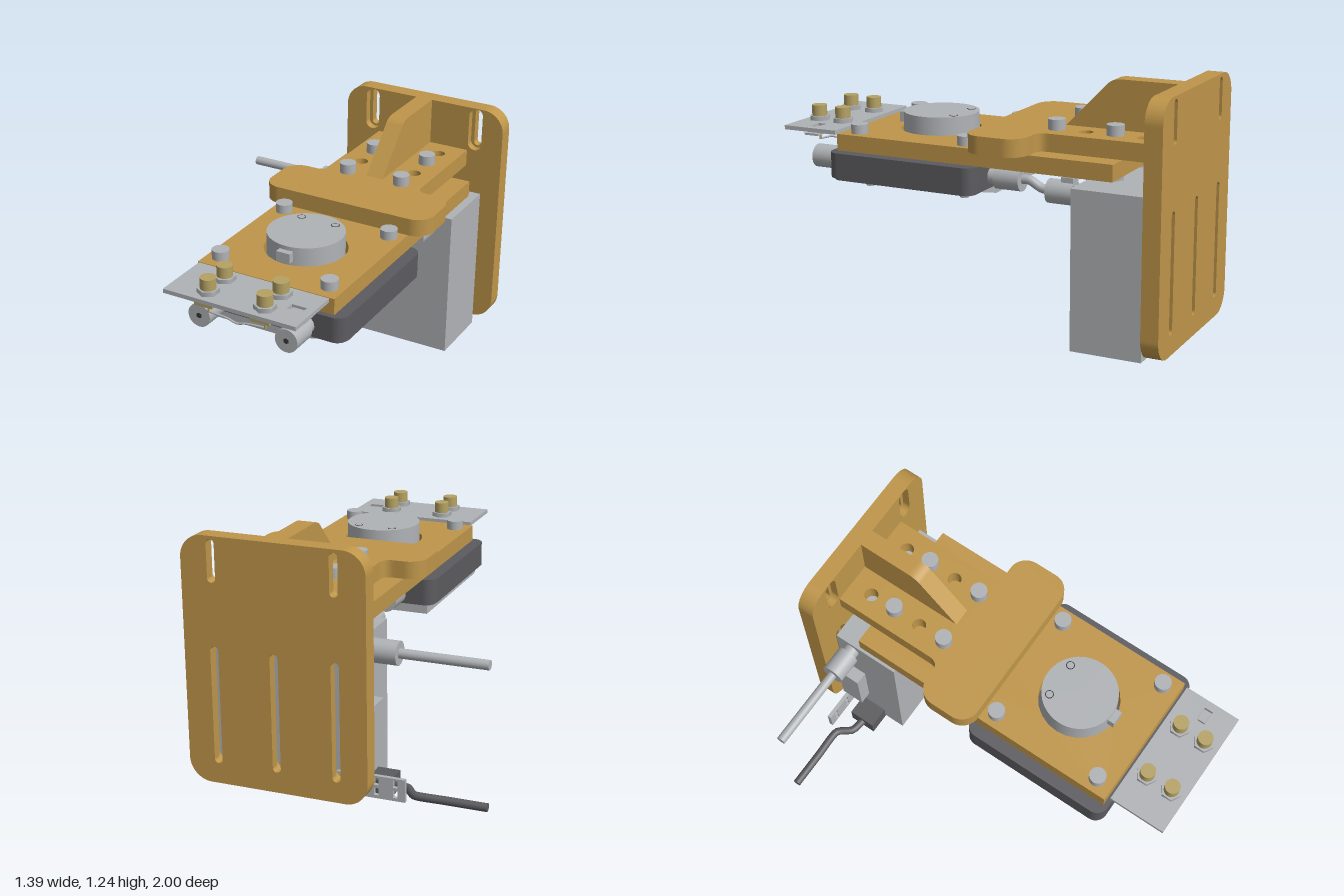
import * as THREE from 'three';

const mat = (name, color, side = THREE.FrontSide) => {
  const m = new THREE.MeshStandardMaterial({ color, side });
  m.name = name;
  return m;
};

export function createModel() {
  const root = new THREE.Group();
  root.name = 'mountedSensorBracket';
  const amber = mat('amber plastic', 0xbf964a);
  const grey = mat('light grey metal', 0xb0b3b6);
  const dark = mat('dark grey housing', 0x5c5c60);
  const brass = mat('brass', 0xb5a264);
  const green = mat('circuit green', 0x1f5f3c);
  const black = mat('socket black', 0x38383a);

  const add = (name, geo, material) => {
    const m = new THREE.Mesh(geo, material);
    m.name = name;
    root.add(m);
    return m;
  };
  // Box from its limits
  const box = (name, m, x0, x1, y0, y1, z0, z1) => {
    const g = new THREE.BoxGeometry(x1 - x0, y1 - y0, z1 - z0);
    g.translate((x0 + x1) / 2, (y0 + y1) / 2, (z0 + z1) / 2);
    return add(name, g, m);
  };
  // Cylinder from a to b along one axis; p, q are the other two coordinates in order
  const cyl = (name, m, axis, p, q, a, b, r, n = 32) => {
    const g = new THREE.CylinderGeometry(r, r, b - a, n);
    const c = (a + b) / 2;
    if (axis === 'x') g.rotateZ(Math.PI / 2).translate(c, p, q);
    else if (axis === 'y') g.translate(p, c, q);
    else g.rotateX(Math.PI / 2).translate(p, q, c);
    return add(name, g, m);
  };
  const roundRect = (P, x0, x1, y0, y1, r) => {
    const s = new P();
    s.moveTo(x0 + r, y0);
    s.lineTo(x1 - r, y0).absarc(x1 - r, y0 + r, r, -Math.PI / 2, 0);
    s.lineTo(x1, y1 - r).absarc(x1 - r, y1 - r, r, 0, Math.PI / 2);
    s.lineTo(x0 + r, y1).absarc(x0 + r, y1 - r, r, Math.PI / 2, Math.PI);
    s.lineTo(x0, y0 + r).absarc(x0 + r, y0 + r, r, Math.PI, Math.PI * 1.5);
    return s;
  };
  const hole = (x, y, r) => new THREE.Path().absarc(x, y, r, 0, Math.PI * 2, true);
  const extrude = (shape, depth) =>
    new THREE.ExtrudeGeometry(shape, { depth, bevelEnabled: false, curveSegments: 12 });
  // Horizontal slab: shape drawn in x and -z
  const slab = (name, m, shape, y0, y1) =>
    add(name, extrude(shape, y1 - y0).rotateX(-Math.PI / 2).translate(0, y0, 0), m);

  // Back plate in two layers, so each slot is wider at the front
  const slots = [[-0.05, 1.02, 1.22], [0.54, 1.02, 1.22]];
  for (const x of [-0.05, 0.245, 0.54]) slots.push([x, 0.15, 0.72]);
  for (const [z, d, wide] of [[-1, 0.045, 0], [-0.955, 0.04, 0.018]]) {
    const s = roundRect(THREE.Shape, -0.2, 0.69, 0.05, 1.235, 0.11);
    for (const [x, y0, y1] of slots) {
      const r = 0.02 + wide;
      s.holes.push(roundRect(THREE.Path, x - r, x + r, y0 - wide * 0.7, y1 + wide * 0.7, r - 0.001));
    }
    add('backPlate', extrude(s, d).translate(0, 0, z), amber);
  }

  // Shelf with a wide rounded head and filleted neck
  const shelf = new THREE.Shape();
  shelf.moveTo(-0.01, 0.917).lineTo(-0.01, 0.38);
  shelf.quadraticCurveTo(-0.01, 0.325, -0.065, 0.325);
  shelf.lineTo(-0.11, 0.325).absarc(-0.11, 0.235, 0.09, Math.PI / 2, Math.PI);
  shelf.lineTo(-0.2, 0.12).absarc(-0.11, 0.12, 0.09, Math.PI, Math.PI * 1.5);
  shelf.lineTo(0.6, 0.03).absarc(0.6, 0.12, 0.09, -Math.PI / 2, 0);
  shelf.lineTo(0.69, 0.235).absarc(0.6, 0.235, 0.09, 0, Math.PI / 2);
  shelf.lineTo(0.555, 0.325).quadraticCurveTo(0.5, 0.325, 0.5, 0.38);
  shelf.lineTo(0.5, 0.917);
  for (const x of [0.095, 0.392])
    for (const z of [0.8, 0.515]) shelf.holes.push(hole(x, z, 0.034));
  slab('shelf', amber, shelf, 0.915, 1.0);

  // Sloped rib between shelf and back plate
  const rib = new THREE.Shape();
  rib.moveTo(0.917, 1.0).lineTo(0.37, 1.0).lineTo(0.57, 1.205);
  rib.quadraticCurveTo(0.595, 1.235, 0.64, 1.235).lineTo(0.917, 1.235);
  add('rib', extrude(rib, 0.09).rotateY(Math.PI / 2).translate(0.2, 0, 0), amber);

  // Long carrier plate with a round opening
  const carrier = new THREE.Shape();
  carrier.moveTo(-0.11, -0.69).lineTo(0.6, -0.69).lineTo(0.6, 0.735).lineTo(-0.11, 0.735);
  carrier.holes.push(hole(0.245, -0.315, 0.198));
  slab('carrierPlate', amber, carrier, 0.835, 0.915);

  // Shelf bolts with hexagonal nuts
  for (const x of [0.095, 0.392])
    for (const z of [-0.37, -0.66]) {
      cyl('shelfBolt', grey, 'y', x, z, 1.0, 1.05, 0.041);
      cyl('shelfNut', grey, 'y', x, z, 0.795, 0.835, 0.045, 6);
    }
  // Carrier bolts
  for (const x of [-0.04, 0.53])
    for (const z of [0.03, 0.605]) cyl('carrierBolt', grey, 'y', x, z, 0.915, 0.96, 0.041);

  // Round sensor cap
  cyl('sensorCap', grey, 'y', 0.245, 0.315, 0.835, 1.0, 0.184, 48);
  box('sensorTab', grey, 0.21, 0.28, 0.93, 0.98, 0.48, 0.53);
  for (const x of [0.155, 0.335]) {
    cyl('capHoleRim', black, 'y', x, 0.2, 0.999, 1.001, 0.021, 24);
    cyl('capHole', grey, 'y', x, 0.2, 1.0, 1.002, 0.017, 24);
  }

  // Dark housing with its base
  slab('housing', dark, roundRect(THREE.Shape, -0.17, 0.66, -0.715, 0.07, 0.06), 0.712, 0.835);
  slab('housingBasePlate', dark, roundRect(THREE.Shape, -0.155, 0.645, -0.7, 0.055, 0.05), 0.7, 0.712);
  const wedge = new THREE.Shape();
  wedge.moveTo(-0.125, 0.655).lineTo(0.37, 0.655).lineTo(0.55, 0.701).lineTo(-0.125, 0.701);
  add('housingBase', extrude(wedge, 0.735).translate(0, 0, -0.045), grey);
  for (const x of [-0.1, 0.6])
    for (const z of [0.0, 0.505]) cyl('baseScrew', grey, 'y', x, z, 0.685, 0.701, 0.022, 20);

  // Front sockets, rear fittings and their bent pipes
  for (const x of [0.02, 0.47]) {
    cyl('frontSocketNeck', grey, 'z', x, 0.765, 0.71, 0.76, 0.045);
    cyl('frontSocket', grey, 'z', x, 0.765, 0.755, 0.885, 0.057);
    cyl('socketCore', black, 'z', x, 0.765, 0.884, 0.887, 0.014, 6);
    cyl('rearFittingNeck', grey, 'z', x, 0.765, -0.11, -0.07, 0.04);
    cyl('rearFitting', grey, 'z', x, 0.765, -0.235, -0.105, 0.057);
    const path = new THREE.CatmullRomCurve3([
      [0.765, -0.23], [0.765, -0.27], [0.735, -0.33], [0.728, -0.38],
    ].map(([y, z]) => new THREE.Vector3(x, y, z)));
    add('rearPipe', new THREE.TubeGeometry(path, 16, 0.022, 16), grey);
    cyl('boxFitting', grey, 'z', x, 0.728, -0.5, -0.37, 0.057);
    cyl('boxFittingNeck', grey, 'z', x, 0.728, -0.54, -0.5, 0.04);
    box('fittingCap', grey, x - 0.03, x + 0.03, 0.78, 0.805, -0.5, -0.44);
  }
  for (const x of [0.14, 0.35]) cyl('frontPort', dark, 'z', x, 0.77, 0.71, 0.722, 0.033);

  // Connector plate with a small window
  const plate = new THREE.Shape();
  plate.moveTo(-0.09, -1.0).lineTo(0.585, -1.0).lineTo(0.585, -0.71).lineTo(-0.09, -0.71);
  const win = new THREE.Path();
  win.moveTo(0.47, -0.88).lineTo(0.47, -0.835).lineTo(0.545, -0.835).lineTo(0.545, -0.88);
  plate.holes.push(win);
  slab('connectorPlate', grey, plate, 0.905, 0.925);
  box('windowPart', grey, 0.445, 0.57, 0.885, 0.895, 0.82, 0.895);
  box('windowPartBlock', grey, 0.48, 0.535, 0.89, 0.915, 0.84, 0.875);
  for (const x of [0.1, 0.39]) {
    for (const z of [0.79, 0.925]) {
      cyl('connectorNut', grey, 'y', x, z, 0.925, 0.947, 0.052, 6);
      cyl('connectorBarrel', brass, 'y', x, z, 0.945, 1.0, 0.037);
      box('connectorBody', brass, x - 0.047, x + 0.047, 0.873, 0.905, z - 0.047, z + 0.047);
      cyl('connectorPin', brass, 'y', x, z, 0.825, 0.875, 0.006, 10);
    }
  }
  // Thin bent wires between the pins
  for (const z of [0.79, 0.925]) {
    const p = [[0.1, 0.828], [0.2, 0.82], [0.245, 0.808], [0.29, 0.82], [0.39, 0.828]];
    const curve = new THREE.CatmullRomCurve3(p.map(([x, y]) => new THREE.Vector3(x, y, z)));
    add('linkWire', new THREE.TubeGeometry(curve, 20, 0.005, 8), grey);
  }
  box('plateHanger', grey, 0.23, 0.26, 0.82, 0.906, 0.712, 0.722);

  // Tall electronics box, open underneath with a recessed board
  box('electronicsBox', grey, -0.11, 0.6, 0.06, 0.785, -0.885, -0.535);
  const rim = new THREE.Shape();
  rim.moveTo(-0.11, 0.535).lineTo(0.6, 0.535).lineTo(0.6, 0.885).lineTo(-0.11, 0.885);
  rim.holes.push(roundRect(THREE.Path, -0.095, 0.585, 0.55, 0.87, 0.01));
  slab('boxRim', grey, rim, 0.018, 0.06);
  box('circuitBoard', green, -0.09, 0.58, 0.05, 0.059, -0.865, -0.555);
  box('boardChip', grey, 0.16, 0.24, 0.042, 0.05, -0.72, -0.64);
  for (const x of [-0.05, 0.54])
    for (const z of [-0.83, -0.59]) cyl('boardScrew', grey, 'y', x, z, 0.036, 0.05, 0.024, 20);
  for (const x of [-0.02, 0.51]) cyl('boxRearScrew', grey, 'z', x, 0.125, -0.905, -0.885, 0.035);

  // Side rod and its fitting
  cyl('rodFittingNeck', grey, 'x', 0.725, -0.795, -0.15, -0.105, 0.04);
  cyl('rodFitting', grey, 'x', 0.725, -0.795, -0.275, -0.145, 0.056);
  cyl('sideRod', grey, 'x', 0.725, -0.795, -0.695, -0.27, 0.023);
  box('sideBlock', grey, -0.175, -0.105, 0.205, 0.48, -0.86, -0.74);

  // Cable plug with a bent cable
  box('cablePlug', dark, -0.22, -0.09, 0, 0.09, -0.79, -0.65);
  const cable = new THREE.CatmullRomCurve3([
    [-0.695, -0.8], [-0.5, -0.8], [-0.35, -0.8], [-0.29, -0.735], [-0.215, -0.72],
  ].map(([x, z]) => new THREE.Vector3(x, 0.048, z)), false, 'catmullrom', 0.3);
  add('cable', new THREE.TubeGeometry(cable, 32, 0.02, 16), dark);
  const end = cyl('cableEnd', dark, 'x', 0.048, -0.8, -0.697, -0.693, 0.02, 16);
  end.name = 'cableEnd';

  // Perforated side bracket
  const tab = new THREE.Shape();
  tab.moveTo(-0.325, 0.035).lineTo(-0.105, 0.035).lineTo(-0.105, 0.145).lineTo(-0.325, 0.145);
  for (const x of [-0.278, -0.185])
    for (const y of [0.05, 0.1]) tab.holes.push(roundRect(THREE.Path, x - 0.011, x + 0.011, y, y + 0.035, 0.003));
  add('sideBracket', extrude(tab, 0.02).translate(0, 0, -0.862), grey);

  return root;
}
